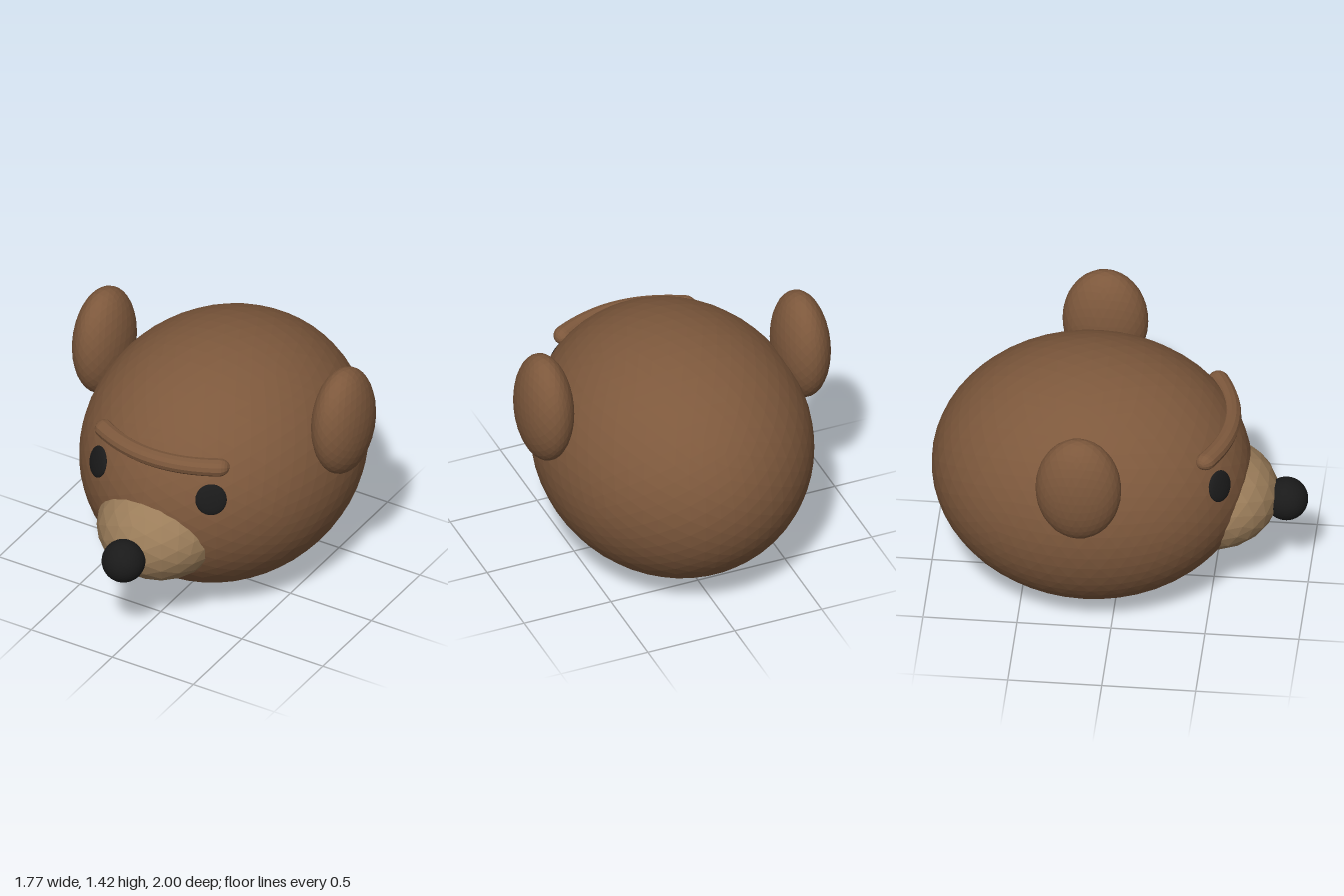
import * as THREE from 'three';

const material = (color) => new THREE.MeshStandardMaterial({ color, flatShading: true });

export function createModel() {
  const model = new THREE.Group();
  model.name = 'bearHead';
  const fur = material(0x7d583c);
  const tan = material(0x9b7d5a);
  const black = material(0x1a1a1a);

  // Faceted ball stretched to three radii
  function ellipsoid(name, mat, detail, radii, position) {
    const mesh = new THREE.Mesh(new THREE.IcosahedronGeometry(1, detail), mat);
    mesh.name = name;
    mesh.scale.set(...radii);
    mesh.position.set(...position);
    model.add(mesh);
    return mesh;
  }

  const headRadii = [0.735, 0.7, 0.85];
  const headCentre = [0, 0.705, -0.15];
  ellipsoid('head', fur, 9, headRadii, headCentre);
  ellipsoid('muzzle', tan, 3, [0.34, 0.285, 0.35], [0, 0.57, 0.495]);
  ellipsoid('nose', black, 7, [0.116, 0.116, 0.116], [0, 0.555, 0.884]);

  for (const [side, s] of [['left', 1], ['right', -1]]) {
    ellipsoid(side + 'Ear', fur, 5, [0.147, 0.315, 0.228], [s * 0.738, 1.11, -0.15]);

    // Flat eye lying on the head, turned along the head's surface normal
    const eyePosition = [s * 0.348, 0.88, 0.563];
    const eye = ellipsoid(side + 'Eye', black, 4, [0.084, 0.086, 0.022], eyePosition);
    const normal = new THREE.Vector3(
      ...eyePosition.map((p, i) => (p - headCentre[i]) / headRadii[i] ** 2));
    eye.lookAt(eye.position.clone().add(normal));
  }

  // One long brow: a capsule bent back around the forehead
  const browGeometry = new THREE.CapsuleGeometry(0.047, 0.71, 5, 12, 16);
  browGeometry.rotateZ(Math.PI / 2);
  const p = browGeometry.attributes.position;
  for (let i = 0; i < p.count; i++) {
    const x = p.getX(i);
    p.setXYZ(i, x - p.getZ(i) * x * -1.2, p.getY(i), p.getZ(i) * 1.05 - 0.8 * x * x);
  }
  browGeometry.computeVertexNormals();
  const brow = new THREE.Mesh(browGeometry, fur);
  brow.name = 'brow';
  brow.position.set(0, 1.047, 0.592);
  model.add(brow);

  return model;
}
